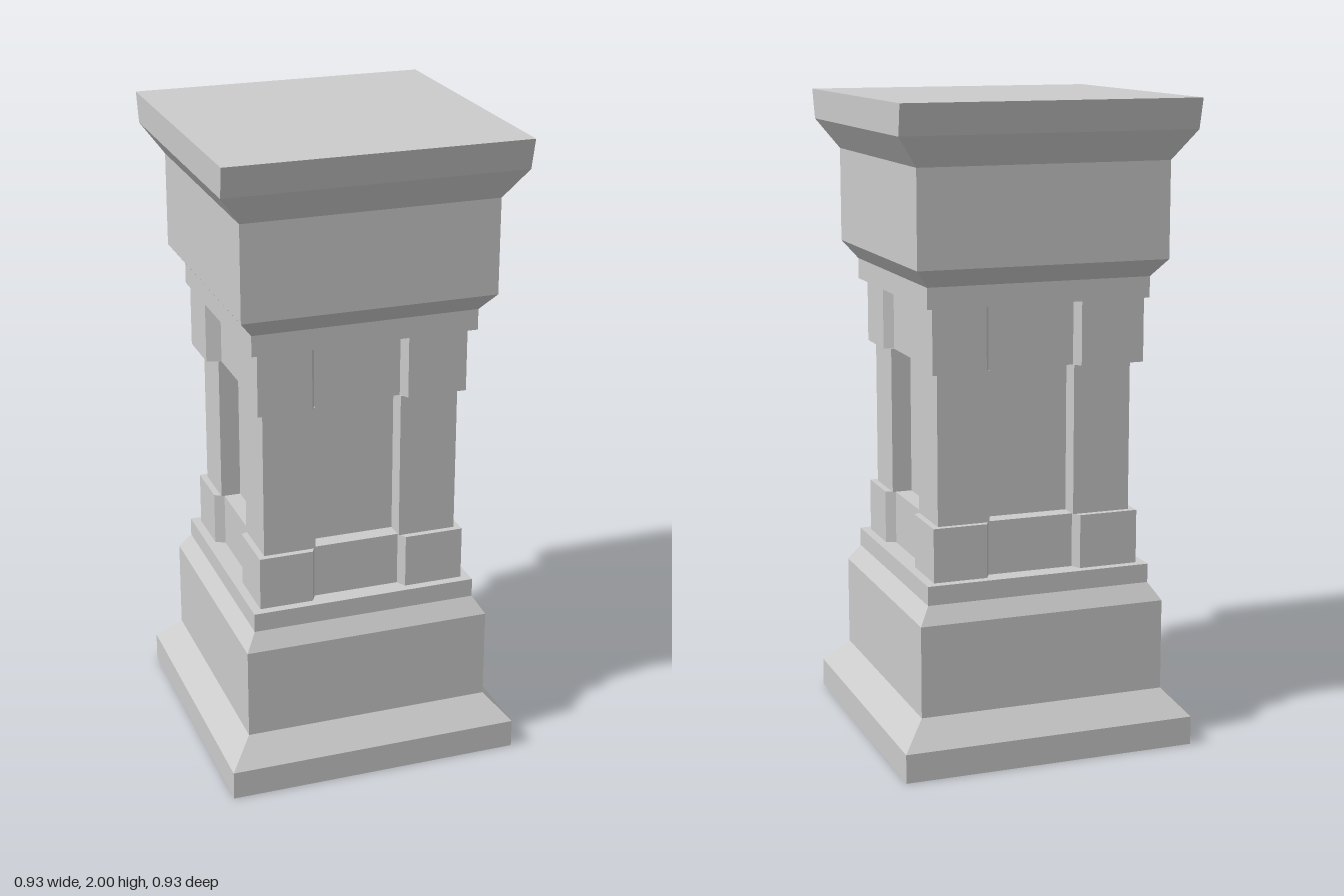
import * as THREE from 'three';

const material = new THREE.MeshStandardMaterial({ color: 0xcccccc, flatShading: true });

// Square moulding swept from a [half width, height] profile, closed at both ends
function squareMoulding(name, profile) {
  const pts = profile.map(([w, y]) => new THREE.Vector2(w * Math.SQRT2, y));
  pts.unshift(new THREE.Vector2(0, profile[0][1]));
  pts.push(new THREE.Vector2(0, profile[profile.length - 1][1]));
  const mesh = new THREE.Mesh(new THREE.LatheGeometry(pts, 4, Math.PI / 4), material);
  mesh.name = name;
  return mesh;
}

// Square tier with a recessed panel in each face.
// half: post face, panel: recessed face, slant: splay of the recess sides,
// lug: extra projection of the back post on the -x side
function panelledTier(name, y0, y1, half, panel, slant, lug = 0) {
  const side = [
    [half, -half], [half, -0.145 - slant], [panel, -0.145],
    [panel, 0.127], [half, 0.127 + slant],
  ];
  const pts = [];
  for (let k = 0; k < 4; k++) {
    side.forEach(([x, y], i) => {
      const p = new THREE.Vector2(x, y).rotateAround(new THREE.Vector2(), k * Math.PI / 2);
      if (k === 2 && i < 2) p.x -= lug;
      pts.push(p);
    });
  }
  const geo = new THREE.ExtrudeGeometry(new THREE.Shape(pts), { depth: y1 - y0, bevelEnabled: false });
  geo.rotateX(-Math.PI / 2).translate(0, y0, 0);
  const mesh = new THREE.Mesh(geo, material);
  mesh.name = name;
  return mesh;
}

export function createModel() {
  const group = new THREE.Group();
  group.name = 'pedestal';

  // Stepped plinth
  group.add(squareMoulding('base', [
    [0.465, 0], [0.465, 0.09], [0.392, 0.17], [0.392, 0.455], [0.358, 0.508], [0.358, 0.567],
  ]));

  // Shaft with wider bands at its foot and head
  group.add(panelledTier('lowerBand', 0.567, 0.735, 0.33, 0.3, 0.016));
  group.add(panelledTier('shaft', 0.735, 1.2, 0.31, 0.247, 0));
  group.add(panelledTier('upperBand', 1.2, 1.4, 0.33, 0.3, 0.016, 0.015));

  // Capital with a flared top slab, leaning outward on the front and back
  const capital = squareMoulding('capital', [
    [0.353, 1.4], [0.353, 1.465], [0.396, 1.52], [0.396, 1.815], [0.463, 1.907], [0.465, 2],
  ]);
  const pos = capital.geometry.attributes.position;
  for (let i = 0; i < pos.count; i++) {
    if (Math.abs(pos.getY(i) - 1.907) < 0.001) pos.setZ(i, pos.getZ(i) * 0.962);
  }
  capital.geometry.computeVertexNormals();
  group.add(capital);

  return group;
}
